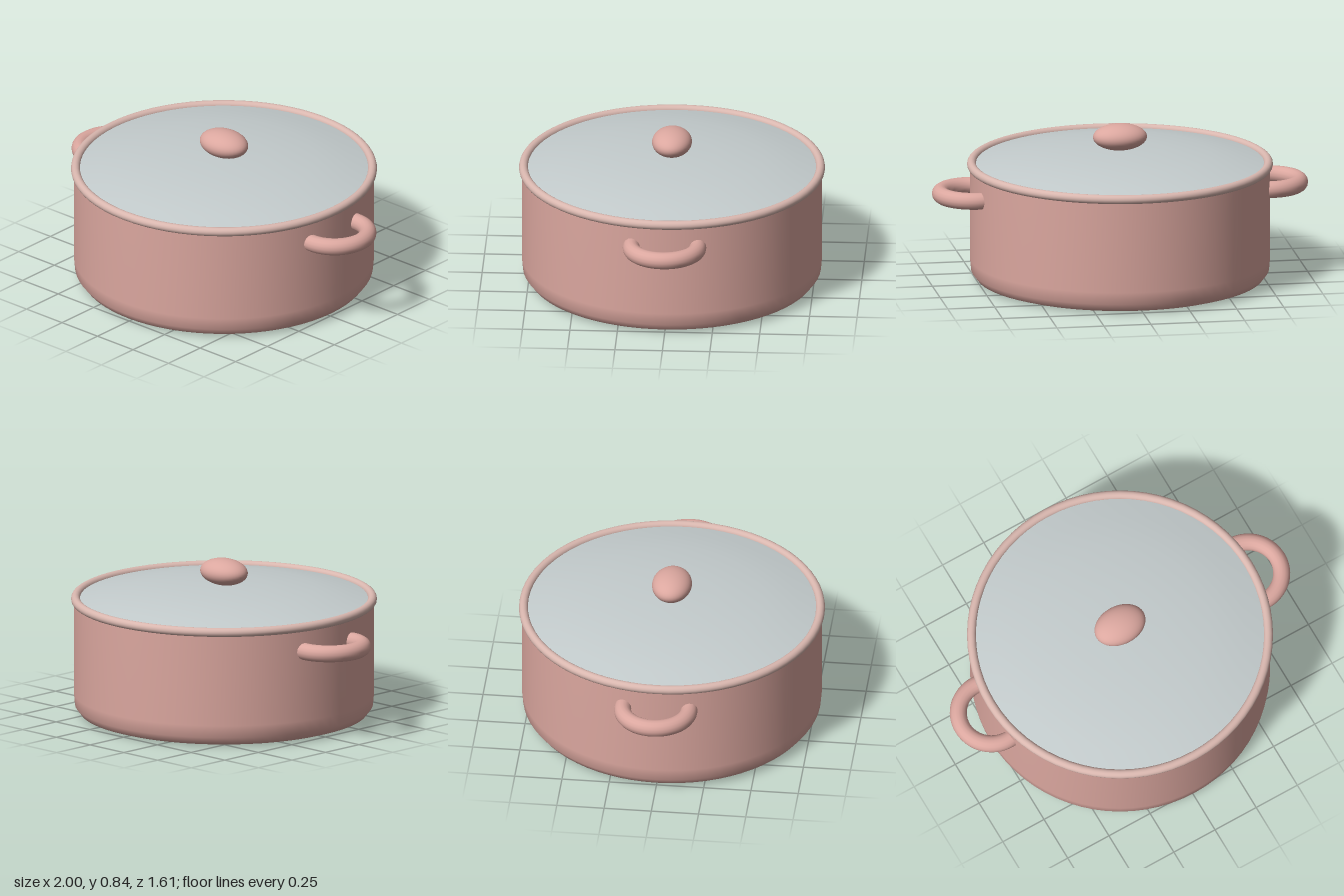
import * as THREE from 'three';

const material = (name, color) => {
  const m = new THREE.MeshStandardMaterial({ color });
  m.name = name;
  return m;
};

// Revolved profile, listed from bottom to top so the outside faces out
const lathe = (points) =>
  new THREE.LatheGeometry(points.map(([r, y]) => new THREE.Vector2(r, y)), 72);

export function createModel() {
  const group = new THREE.Group();
  group.name = 'cookingPot';
  const enamel = material('pink enamel', 0xdba79f);
  const rimPink = material('pale pink rim', 0xd9b7af);
  const lidGrey = material('pale grey lid', 0xc4cccd);

  const add = (name, geometry, mat, x = 0, y = 0, z = 0) => {
    const mesh = new THREE.Mesh(geometry, mat);
    mesh.name = name;
    mesh.position.set(x, y, z);
    group.add(mesh);
    return mesh;
  };

  // Pot body with a rounded lower edge
  add('body', lathe([
    [0, 0], [0.68, 0], [0.705, 0.001], [0.755, 0.017], [0.784, 0.055],
    [0.79, 0.12], [0.79, 0.62],
  ]), enamel);

  // Rolled rim
  const rim = new THREE.TorusGeometry(0.781, 0.024, 16, 72);
  rim.rotateX(Math.PI / 2);
  add('rim', rim, rimPink, 0, 0.624, 0);

  // Shallow domed lid
  add('lid', lathe([
    [0.78, 0.624], [0.66, 0.65], [0.48, 0.682], [0.23, 0.702], [0, 0.705],
  ]), lidGrey);

  // Oval knob
  const knob = new THREE.SphereGeometry(1, 40, 24);
  knob.scale(0.143, 0.07, 0.105);
  add('knob', knob, enamel, 0, 0.77, 0);

  // Loop handles, their ends sunk slightly into the wall
  const overlap = 0.12;
  for (const side of [1, -1]) {
    const handle = new THREE.TorusGeometry(0.175, 0.045, 16, 40, Math.PI + 2 * overlap);
    handle.rotateZ(-Math.PI / 2 - overlap);
    handle.rotateX(Math.PI / 2);
    if (side < 0) handle.rotateY(Math.PI);
    add(side > 0 ? 'leftHandle' : 'rightHandle', handle, enamel, side * 0.78, 0.495, 0);
  }

  return group;
}
